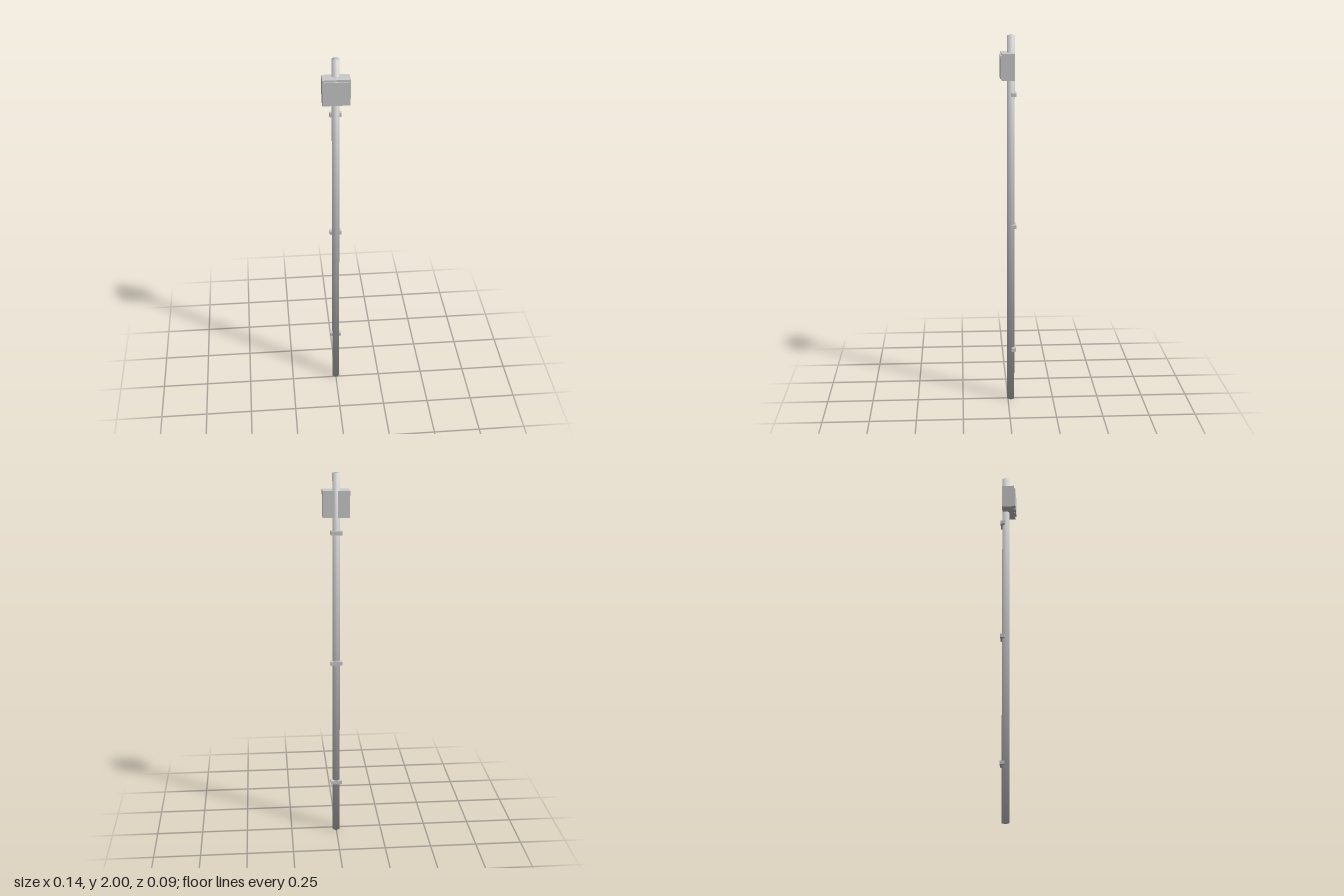
import * as THREE from 'three';
import { mergeVertices } from 'three/addons/utils/BufferGeometryUtils.js';

const material = new THREE.MeshStandardMaterial({ color: 0xcccccc });

export function createModel() {
  const group = new THREE.Group();

  const add = (name, geometry, x, y, z) => {
    const mesh = new THREE.Mesh(geometry, material);
    mesh.name = name;
    mesh.position.set(x, y, z);
    group.add(mesh);
  };
  const box = (name, w, h, d, y, z) => add(name, new THREE.BoxGeometry(w, h, d), 0, y, z);

  // Pole: closed cylinder with normals blended across the end rims
  const radius = 0.0196;
  let pole = new THREE.CylinderGeometry(radius, radius, 2, 24);
  pole.deleteAttribute('uv');
  pole.deleteAttribute('normal');
  pole = mergeVertices(pole, 1e-5);
  pole.computeVertexNormals();
  const p = pole.attributes.position;
  const n = new THREE.Vector3();
  for (let i = 0; i < p.count; i++) {
    n.set(p.getX(i) / radius, Math.sign(p.getY(i)), p.getZ(i) / radius).normalize();
    pole.attributes.normal.setXYZ(i, n.x, n.y, n.z);
  }
  add('pole', pole, 0, 1, -0.016);

  // Equipment cabinet near the top, with a raised front door
  box('cabinet', 0.138, 0.136, 0.0675, 1.845, 0.0003);
  box('cabinetDoor', 0.122, 0.116, 0.007, 1.845, 0.0375);

  // Mounting clamps along the back of the pole
  for (const y of [0.3, 1, 1.7]) box('clamp', 0.061, 0.02, 0.025, y, -0.0315);

  return group;
}
